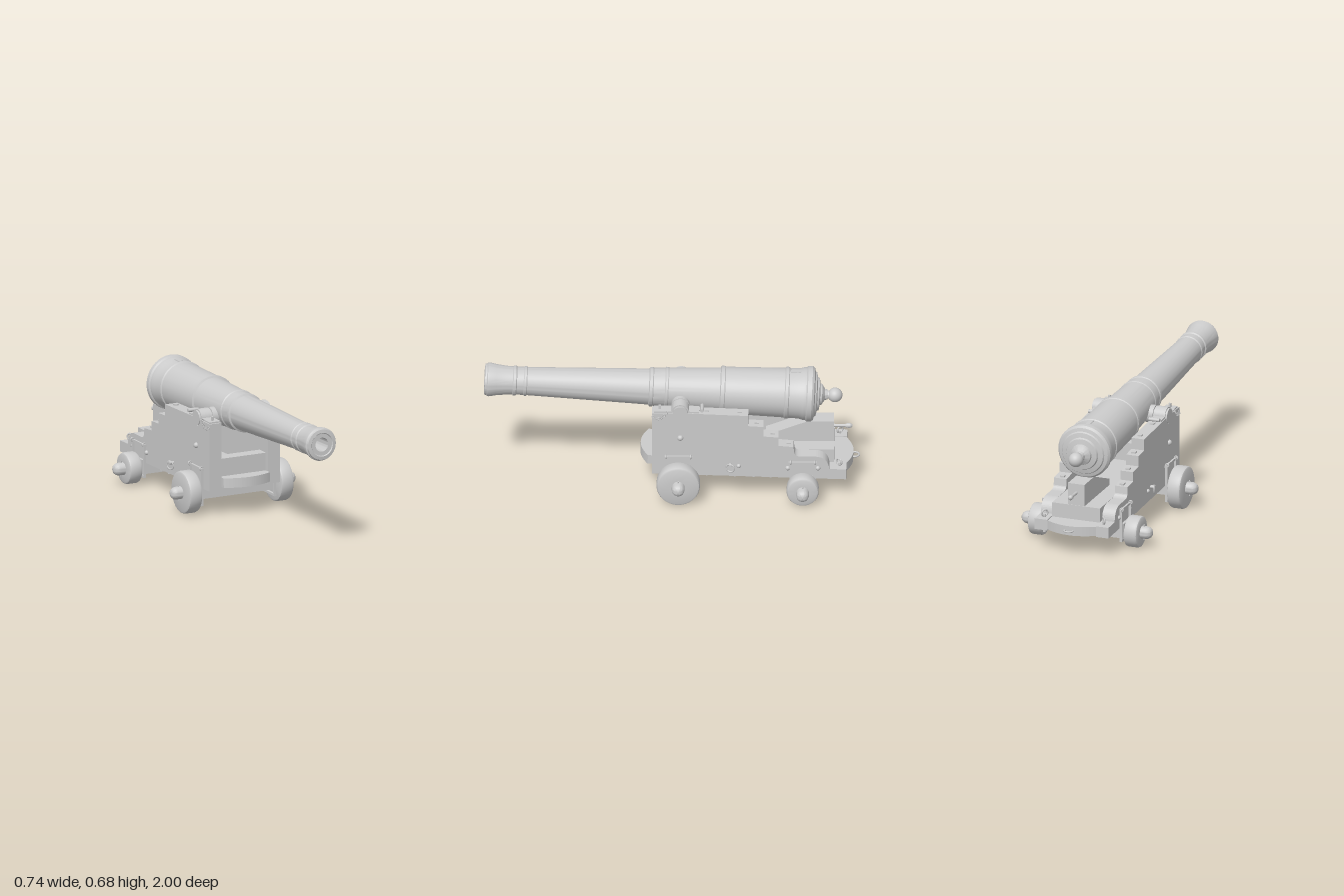
import * as THREE from 'three';
import { toCreasedNormals } from 'three/addons/utils/BufferGeometryUtils.js';

const material = new THREE.MeshStandardMaterial({ color: 0xcccccc, side: THREE.DoubleSide });

function add(parent, name, geometry, x = 0, y = 0, z = 0) {
  const mesh = new THREE.Mesh(geometry, material);
  mesh.name = name;
  mesh.position.set(x, y, z);
  parent.add(mesh);
  return mesh;
}

const box = (w, h, d) => new THREE.BoxGeometry(w, h, d);
const points = (list) => list.map(([a, b]) => new THREE.Vector2(a, b));
const lathe = (list, segments = 48) => toCreasedNormals(new THREE.LatheGeometry(points(list), segments), 0.5);

// Extrude a (z, y) outline along x, centred on x = 0
function sideExtrude(shape, width) {
  const g = new THREE.ExtrudeGeometry(shape, { depth: width, bevelEnabled: false, curveSegments: 12 });
  return g.translate(0, 0, -width / 2).rotateY(-Math.PI / 2);
}

// Cylinder lying along x
const rodX = (r, length, segments = 24) => new THREE.CylinderGeometry(r, r, length, segments).rotateZ(Math.PI / 2);

function buildBarrel() {
  const barrel = new THREE.Group();
  barrel.name = 'barrel';
  barrel.position.y = 0.546;
  barrel.rotation.x = -0.044;

  // Radius and station from the breech to the muzzle, then back down the bore
  const profile = [
    [0, -0.83], [0.026, -0.83], [0.03, -0.815], [0.045, -0.805], [0.055, -0.80], [0.058, -0.79],
    [0.085, -0.785], [0.09, -0.775], [0.115, -0.77], [0.12, -0.762], [0.138, -0.757], [0.148, -0.745],
    [0.148, -0.722], [0.14, -0.715], [0.14, -0.70], [0.134, -0.68], [0.133, -0.625],
    [0.138, -0.62], [0.138, -0.605], [0.132, -0.60], [0.124, -0.285],
    [0.128, -0.28], [0.128, -0.262], [0.118, -0.257], [0.106, 0.015],
    [0.109, 0.02], [0.109, 0.03], [0.104, 0.035], [0.101, 0.095], [0.105, 0.10], [0.105, 0.115], [0.096, 0.12],
    [0.075, 0.765], [0.079, 0.77], [0.079, 0.78], [0.075, 0.785], [0.074, 0.82],
    [0.08, 0.825], [0.08, 0.838], [0.075, 0.843], [0.077, 0.88], [0.083, 0.93], [0.09, 0.965],
    [0.09, 0.975], [0.084, 0.98], [0.082, 0.99], [0.064, 0.993], [0.06, 0.988], [0.038, 0.988],
    [0.038, 0.60], [0, 0.59],
  ];
  add(barrel, 'barrelTube', lathe(profile, 64).rotateX(Math.PI / 2));

  // Knob behind the breech
  const neck = [[0.026, -0.85], [0.021, -0.835], [0.022, -0.82], [0.03, -0.81]];
  add(barrel, 'breechNeck', lathe(neck, 32).rotateX(Math.PI / 2));
  add(barrel, 'breechKnob', new THREE.SphereGeometry(0.039, 32, 20), 0, 0, -0.869);
  add(barrel, 'ventPatch', box(0.025, 0.006, 0.06), 0, 0.133, -0.66);
  return barrel;
}

function buildWheel(parent, name, s, y, z, r) {
  const wheel = new THREE.Group();
  wheel.name = name;
  wheel.position.set(0, y, z);
  wheel.rotation.z = -s * Math.PI / 2;
  parent.add(wheel);
  add(wheel, 'wheelDisc', lathe([
    [0.03, 0.235], [r - 0.012, 0.235], [r - 0.004, 0.239], [r, 0.248],
    [r, 0.298], [r - 0.004, 0.307], [r - 0.012, 0.311], [0.03, 0.311],
  ]));
  add(wheel, 'axleEnd', lathe([
    [0.034, 0.20], [0.034, 0.34], [0.031, 0.353], [0.023, 0.364], [0.012, 0.37], [0, 0.371],
  ], 32));
  // Linch pin holding the wheel
  const pin = add(wheel, 'linchPin', new THREE.CylinderGeometry(0.004, 0.004, 0.085, 8), 0, 0.323, 0);
  pin.rotation.z = Math.PI / 2;
}

function buildCheekShape() {
  const shape = new THREE.Shape(points([
    [0.1, 0.14], [0.1, 0.51], [-0.01, 0.51],
  ]));
  // Rounded seat for the trunnion, then the stepped back
  shape.absarc(-0.05, 0.51, 0.04, 0, -Math.PI, true);
  [[-0.41, 0.497], [-0.41, 0.435], [-0.49, 0.43], [-0.49, 0.372], [-0.57, 0.366], [-0.57, 0.315],
    [-0.65, 0.308], [-0.655, 0.27]].forEach(([z, y]) => shape.lineTo(z, y));
  shape.quadraticCurveTo(-0.66, 0.25, -0.69, 0.25);
  shape.lineTo(-0.77, 0.25);
  shape.quadraticCurveTo(-0.835, 0.245, -0.84, 0.175);
  shape.lineTo(-0.93, 0.172);
  shape.lineTo(-0.93, 0.112);
  shape.closePath();
  return shape;
}

function buildSide(parent, s) {
  const side = new THREE.Group();
  side.name = s > 0 ? 'leftSide' : 'rightSide';
  parent.add(side);
  const cx = 0.174 * s, outer = 0.21 * s;
  add(side, 'cheek', sideExtrude(buildCheekShape(), 0.072), cx);

  // Trunnion with its shoulder and the arched cap above
  add(side, 'trunnion', rodX(0.04, 0.16, 32), 0.134 * s, 0.511, -0.05);
  add(side, 'trunnionShoulder', rodX(0.048, 0.06, 32), 0.105 * s, 0.511, -0.05);
  const cap = new THREE.Shape(points([[0.09, 0.508], [0.09, 0.518], [-0.002, 0.518]]));
  cap.absarc(-0.05, 0.511, 0.047, 0.15, Math.PI - 0.15, false);
  [[-0.15, 0.516], [-0.15, 0.506], [-0.09, 0.508]].forEach(([z, y]) => cap.lineTo(z, y));
  cap.absarc(-0.05, 0.511, 0.04, Math.PI, 0, true);
  cap.closePath();
  add(side, 'trunnionCap', sideExtrude(cap, 0.064), 0.172 * s);
  add(side, 'capHinge', rodX(0.01, 0.06, 12), 0.172 * s, 0.522, -0.165);
  add(side, 'capBolt', box(0.012, 0.03, 0.012), 0.172 * s, 0.525, 0.06);

  // Short retaining chain hanging from the cap
  for (let i = 0; i < 6; i++) {
    const t = i / 5;
    const link = add(side, 'chainLink', new THREE.TorusGeometry(0.007, 0.002, 6, 12),
      (0.212 + 0.006 * Math.sin(t * Math.PI)) * s, 0.515 - 0.035 * Math.sin(t * Math.PI * 0.75), 0.02 + 0.075 * t);
    link.rotation.y = i % 2 ? Math.PI / 2 : 0.4;
  }

  // Square bolt heads on the steps
  for (const [z, y] of [[-0.19, 0.506], [-0.365, 0.5], [-0.455, 0.434], [-0.54, 0.37], [-0.625, 0.312]]) {
    add(side, 'stepBolt', box(0.024, 0.012, 0.024), 0.17 * s, y, z);
  }
  // Bolt ends below the cheek
  for (const [z, y] of [[-0.19, 0.126], [-0.34, 0.121], [-0.44, 0.118], [-0.53, 0.115]]) {
    add(side, 'lowerBolt', new THREE.CylinderGeometry(0.008, 0.008, 0.03, 10), 0.17 * s, y, z);
  }
  // Round bolt heads on the outer face
  for (const [z, y, r] of [[-0.05, 0.36, 0.016], [-0.36, 0.19, 0.012], [-0.62, 0.18, 0.013], [-0.78, 0.18, 0.013]]) {
    add(side, 'roundBolt', new THREE.SphereGeometry(r, 16, 10), outer, y, z);
  }
  // Side ring with its eye
  add(side, 'ringEye', rodX(0.009, 0.035, 12), 0.22 * s, 0.2, -0.315);
  const ring = add(side, 'sideRing', new THREE.TorusGeometry(0.022, 0.004, 8, 24), 0.229 * s, 0.187, -0.315);
  ring.rotation.y = Math.PI / 2 - 0.35 * s;

  // Eye bolt on the tail
  add(side, 'tailBolt', new THREE.CylinderGeometry(0.006, 0.006, 0.02, 10), 0.168 * s, 0.178, -0.892);
  const eye = add(side, 'tailEye', new THREE.TorusGeometry(0.017, 0.005, 8, 20), 0.168 * s, 0.196, -0.892);
  eye.rotation.y = 0.9 * s;

  // Axle straps: two rods with eyes and a cross bar
  for (const [z, top, low] of [[-0.04, 0.25, 0.045], [-0.7, 0.22, 0.04]]) {
    for (const d of [-0.065, 0.065]) {
      add(side, 'strapRod', box(0.012, top - low, 0.012), 0.218 * s, (top + low) / 2, z + d);
      add(side, 'strapEye', new THREE.TorusGeometry(0.009, 0.004, 8, 16), 0.221 * s, top, z + d);
    }
    add(side, 'strapBar', box(0.01, 0.012, 0.15), 0.216 * s, top - 0.005, z);
    add(side, 'strapFoot', box(0.014, 0.012, 0.142), 0.218 * s, low + 0.006, z);
  }
  buildWheel(side, 'frontWheel', s, 0.115, -0.04, 0.115);
  buildWheel(side, 'rearWheel', s, 0.086, -0.7, 0.085);
}

function buildBed(parent) {
  // Floor plank with bowed ends
  const floor = new THREE.Shape();
  floor.moveTo(-0.138, -0.125);
  floor.quadraticCurveTo(0, -0.205, 0.138, -0.125);
  floor.lineTo(0.138, 0.925);
  floor.quadraticCurveTo(0, 1.005, -0.138, 0.925);
  floor.closePath();
  const plank = new THREE.ExtrudeGeometry(floor, { depth: 0.052, bevelEnabled: false, curveSegments: 24 });
  const mesh = add(parent, 'floorPlank', plank.rotateX(-Math.PI / 2), 0, 0.153, 0);
  mesh.rotation.x = -0.04;

  add(parent, 'frontTransom', box(0.276, 0.115, 0.07), 0, 0.2475, 0.04);
  add(parent, 'stoolBed', box(0.272, 0.1, 0.3), 0, 0.2, -0.715);

  // Elevating wedge and its handle
  const wedge = new THREE.Shape(points([[-0.5, 0.25], [-0.5, 0.285], [-0.72, 0.37], [-0.862, 0.37], [-0.862, 0.25]]));
  add(parent, 'wedge', sideExtrude(wedge, 0.094));
  const handle = lathe([[0, 0], [0.008, 0], [0.008, 0.06], [0.013, 0.075], [0.013, 0.09], [0.006, 0.1], [0, 0.1]], 16);
  add(parent, 'wedgeHandle', handle.rotateX(-Math.PI / 2), 0, 0.32, -0.86);

  // Axle beams
  add(parent, 'frontAxle', box(0.45, 0.075, 0.1), 0, 0.115, -0.04);
  add(parent, 'rearAxle', box(0.45, 0.08, 0.1), 0, 0.094, -0.7);

  // Towing ring at the tail
  const ring = add(parent, 'towingRing', new THREE.TorusGeometry(0.024, 0.005, 8, 24), 0, 0.143, -0.972);
  ring.rotation.x = Math.PI / 2;
}

export function createModel() {
  const model = new THREE.Group();
  model.name = 'cannon';
  model.add(buildBarrel());
  const carriage = new THREE.Group();
  carriage.name = 'carriage';
  model.add(carriage);
  buildBed(carriage);
  for (const s of [1, -1]) buildSide(carriage, s);
  return model;
}
